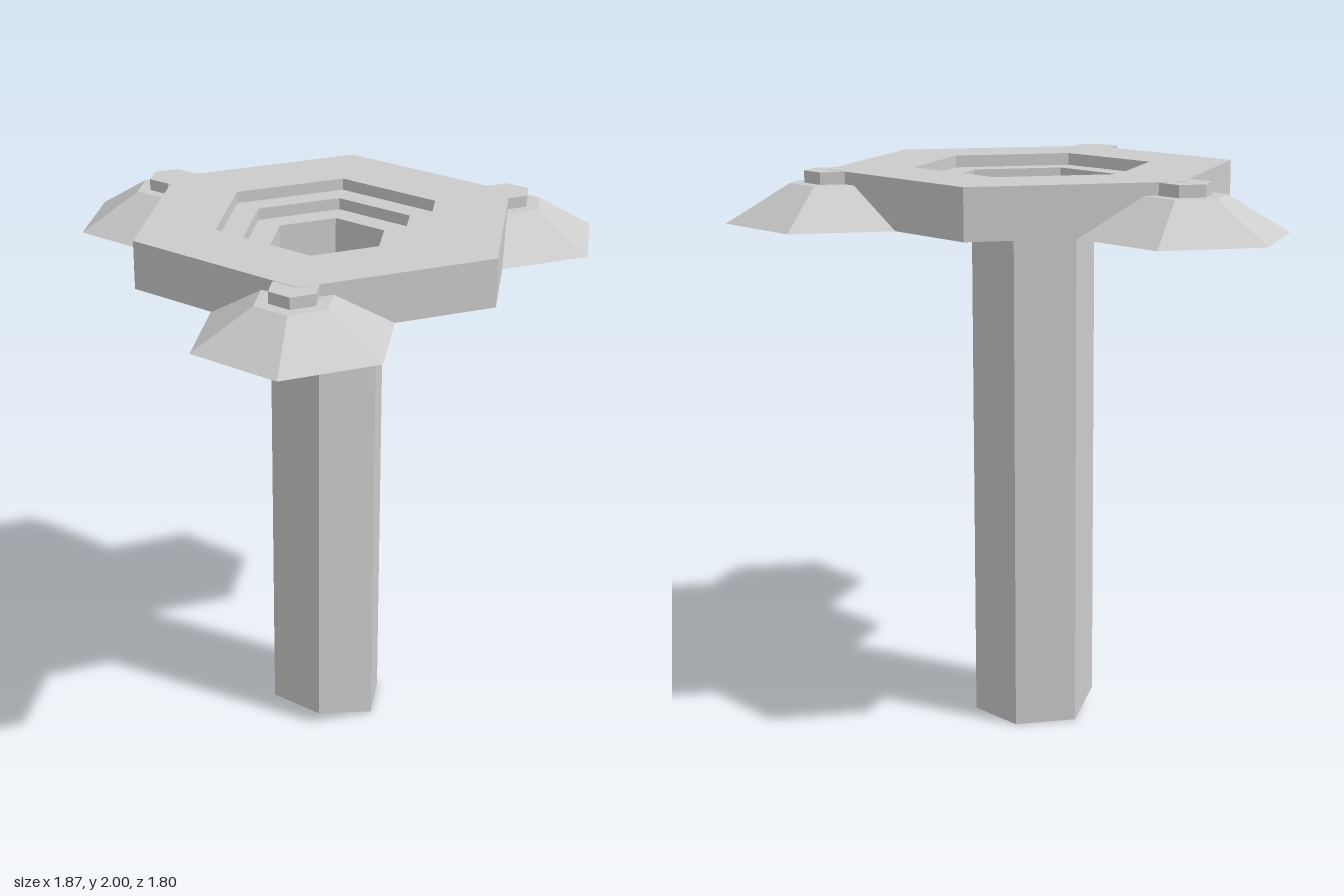
import * as THREE from 'three';

const TOP = 2, SKIRT = 1.825, STEP = 0.043;

export function createModel() {
  const group = new THREE.Group();
  const solid = new THREE.MeshStandardMaterial({ color: 0xcccccc, flatShading: true });
  const shell = new THREE.MeshStandardMaterial({ color: 0xcccccc, flatShading: true, side: THREE.DoubleSide });

  const add = (name, geometry, material, x, y, z, parent = group) => {
    const mesh = new THREE.Mesh(geometry, material);
    mesh.name = name;
    mesh.position.set(x, y, z);
    parent.add(mesh);
    return mesh;
  };

  // Hexagonal plate, open underneath, with a funnel stepping down to the shaft
  const profile = [
    [0.72, SKIRT], [0.72, TOP],
    [0.42, TOP], [0.42, TOP - STEP],
    [0.32, TOP - STEP], [0.32, TOP - 2 * STEP],
    [0.22, TOP - 2 * STEP],
  ].map(([r, y]) => new THREE.Vector2(r, y));
  add('steppedPlate', new THREE.LatheGeometry(profile, 6), shell, 0.012, 0, -0.18);

  // Hollow hexagonal shaft, its front-left bottom edge cut a little higher
  const length = TOP - 2 * STEP;
  const shaft = new THREE.CylinderGeometry(0.22, 0.22, length, 6, 1, true);
  shaft.translate(0, length / 2, 0);
  const p = shaft.attributes.position;
  for (let i = 0; i < p.count; i++) {
    if (p.getY(i) < 0.01 && p.getZ(i) > 0.05 && p.getX(i) < 0.05) p.setY(i, 0.045);
  }
  add('hollowShaft', shaft, shell, 0.012, 0, -0.18);

  // Three capped hexagonal mounds at alternate corners of the plate
  const moundHeight = TOP - STEP - SKIRT;
  const mound = new THREE.CylinderGeometry(0.14, 0.36, moundHeight, 6);
  const cap = new THREE.CylinderGeometry(0.09, 0.09, STEP, 6);
  [['front', 0, 0.54], ['left', 0.622, -0.542], ['right', -0.622, -0.542]].forEach(([side, x, z]) => {
    const corner = new THREE.Group();
    corner.name = side + 'Corner';
    corner.position.set(x, 0, z);
    add('mound', mound, solid, 0, SKIRT + moundHeight / 2, 0, corner);
    add('cap', cap, solid, 0, TOP - STEP / 2 - 0.001, 0, corner);
    group.add(corner);
  });

  return group;
}
